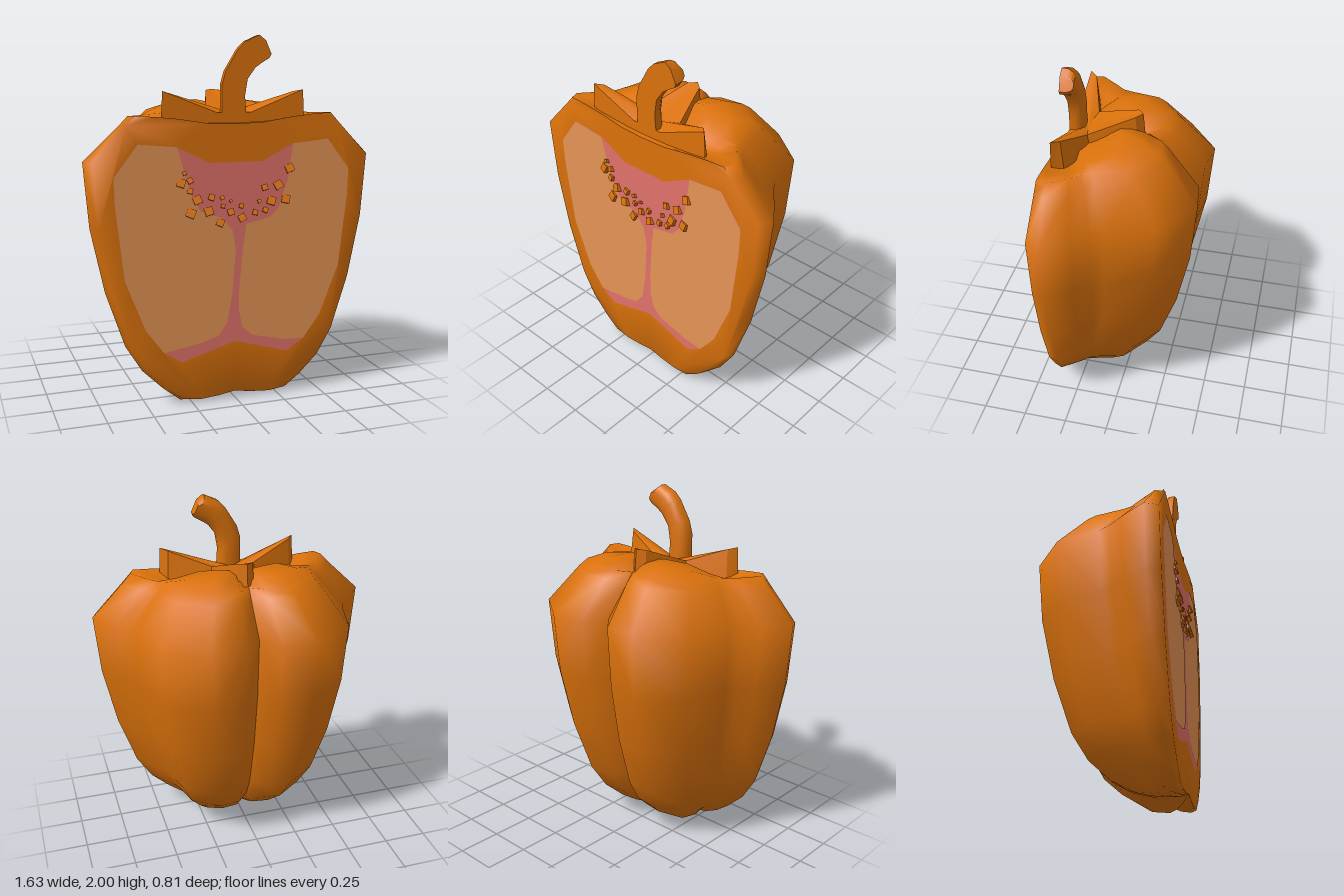
import * as THREE from 'three';
import { mergeGeometries, mergeVertices, toCreasedNormals } from 'three/addons/utils/BufferGeometryUtils.js';

const CUT = 0.38; // z of the flat cut face

function material(name, color) {
  const m = new THREE.MeshStandardMaterial({ color });
  m.name = name;
  return m;
}

function add(group, name, geometry, mat) {
  const mesh = new THREE.Mesh(geometry, mat);
  mesh.name = name;
  group.add(mesh);
  return mesh;
}

// Skin a stack of equally long rings of [x, y, z] points
function loft(rings, closed = false, capped = false) {
  const n = rings[0].length, index = [];
  for (let j = 0; j < rings.length - 1; j++) {
    for (let i = 0; i < (closed ? n : n - 1); i++) {
      const a = j * n + i, b = j * n + (i + 1) % n;
      index.push(a, a + n, b, b, a + n, b + n);
    }
  }
  if (capped) {
    const top = (rings.length - 1) * n;
    for (let i = 1; i < n - 1; i++) index.push(0, i, i + 1, top, top + i + 1, top + i);
  }
  const g = new THREE.BufferGeometry();
  g.setAttribute('position', new THREE.Float32BufferAttribute(rings.flat(2), 3));
  g.setIndex(index);
  return g;
}

function flatShape(points, z) {
  const g = new THREE.ShapeGeometry(new THREE.Shape(points.map(([x, y]) => new THREE.Vector2(x, y))));
  return g.translate(0, 0, z);
}

function mirrorX(geometry) {
  const g = geometry.clone().scale(-1, 1, 1);
  const ix = g.index.array;
  for (let i = 0; i < ix.length; i += 3) [ix[i], ix[i + 1]] = [ix[i + 1], ix[i]];
  return g;
}

// Half outline of the cut interior, top to bottom
const INNER = [[0, 1.33], [0.15, 1.33], [0.33, 1.42], [0.54, 1.44], [0.67, 1.27], [0.665, 1.12],
  [0.62, 0.72], [0.51, 0.44], [0.41, 0.305], [0.31, 0.24], [0, 0.33]];

// One half of the lobed skin, with its front rim
function halfSkin() {
  // x, z, share of the shoulder lift, share of the base lift
  const section = [[0, -0.27, -0.2, 1], [0.1, -0.38, 0.8, 1], [0.3, -0.405, 1, 0.9], [0.54, -0.23, 0.75, 0.1],
    [0.605, 0.02, 0.1, 0], [0.64, 0.085, -0.5, 0.5], [0.71, 0.165, -0.5, 0.3], [0.815, 0.305, -0.15, 0.3],
    [0.78, CUT, 0, 0.5]];
  // scale, height, shoulder lift, base lift
  const levels = [[0, 0.04, 0, 0], [0.12, 0.012, 0, 0.025], [0.26, 0, 0, 0.03], [0.385, 0.002, 0, 0.05],
    [0.5, 0.085, 0, 0.015], [0.64, 0.2, 0, 0], [0.75, 0.345, 0, 0], [0.875, 0.65, 0, 0], [0.965, 1, 0, 0],
    [1, 1.35, 0, 0], [0.77, 1.535, 0.025, 0], [0.71, 1.585, 0.012, 0], [0.58, 1.58, 0.06, 0],
    [0.42, 1.567, 0.085, 0], [0.2, 1.54, 0, 0], [0, 1.535, 0, 0]];
  const rings = levels.map(([s, y, shoulder, base]) => section.map(([x, z, k, b]) =>
    [x * s, y + shoulder * k + base * b, CUT + (z - CUT) * s]));
  const edge = rings.map((r) => r[r.length - 1]);
  const rim = flatShape([...edge, ...INNER], CUT);
  rim.deleteAttribute('uv');
  rim.deleteAttribute('normal');
  return mergeVertices(mergeGeometries([loft(rings), rim]), 1e-4);
}

// Half-round stem, bent to one side and flat at the front
function stemGeometry() {
  const sides = [[-0.07, 1.54, 0.07, 1.54], [-0.07, 1.74, 0.06, 1.68], [-0.05, 1.81, 0.075, 1.77],
    [0.02, 1.925, 0.12, 1.83], [0.06, 1.965, 0.16, 1.857], [0.14, 2, 0.2, 1.88], [0.178, 1.972, 0.21, 1.9]];
  const section = [[0, 0.35], [0, 0.315], [0.12, 0.287], [0.3, 0.275], [0.7, 0.275], [0.88, 0.287], [1, 0.315], [1, 0.35]];
  const rings = sides.map(([x0, y0, x1, y1]) =>
    section.map(([u, z]) => [x0 + (x1 - x0) * u, y0 + (y1 - y0) * u, z]));
  return toCreasedNormals(loft(rings, true, true), 0.7);
}

// Three-pointed calyx: dished top, sloping walls
function calyxGeometry() {
  const half = [[0, -0.065, 1.705], [0.045, -0.03, 1.7], [0.13, 0.215, 1.61], [0.37, 0.29, 1.7], [0.41, 0.35, 1.71]];
  const outer = [...half, [0.1, 0.35, 1.593], [-0.1, 0.35, 1.593],
    ...half.slice(1).reverse().map(([x, z, y]) => [-x, z, y])];
  const lower = outer.map(([x, z]) => [x, 1.5, z]);
  const upper = outer.map(([x, z, y]) => [x * 0.97, y, z > 0.34 ? z : z + 0.018]);
  const centre = outer.map(() => [0, 1.59, 0.26]);
  return toCreasedNormals(loft([lower, upper, centre], true), 0.5);
}

export function createModel() {
  const orange = material('orange skin', 0xda710b);
  const tan = material('pale flesh', 0xe59355);
  const pink = material('pink core', 0xe2716a);
  const model = new THREE.Group();
  model.name = 'halvedPepper';

  // Skin halves stay separate so the back groove is sharp
  const half = halfSkin();
  add(model, 'leftSkin', toCreasedNormals(half, 1.3), orange);
  add(model, 'rightSkin', toCreasedNormals(mirrorX(half), 1.3), orange);

  // Core membrane fills the cut, with a flesh chamber on each side
  const core = [...INNER, ...INNER.slice(1, -1).reverse().map(([x, y]) => [-x, y])];
  add(model, 'core', flatShape(core, CUT), pink);
  const wall = INNER.slice(2, 9);
  add(model, 'leftChamber', flatShape([...wall, [0.3, 0.31], [0.1, 0.355], [0.04, 0.41], [0.02, 0.5], [0.02, 0.62],
    [0.04, 0.85], [0.06, 0.99], [0.2, 1.02], [0.25, 1.07], [0.3, 1.22]], CUT + 0.003), tan);
  add(model, 'rightChamber', flatShape([...wall.map(([x, y]) => [-x, y]), [-0.2, 0.34], [-0.1, 0.37], [-0.05, 0.44],
    [-0.02, 0.6], [0, 0.85], [-0.02, 0.96], [-0.08, 1.03], [-0.2, 1.07], [-0.26, 1.18]], CUT + 0.003), tan);

  add(model, 'stem', stemGeometry(), orange);
  add(model, 'calyx', calyxGeometry(), orange);

  // Seeds: x, y, size
  const seeds = [[-0.29, 1.28, 0.02], [-0.31, 1.23, 0.045], [-0.26, 1.24, 0.03], [-0.26, 1.185, 0.03],
    [-0.22, 1.135, 0.045], [-0.255, 1.065, 0.048], [-0.155, 1.07, 0.045], [-0.14, 1.145, 0.032],
    [-0.08, 1.14, 0.022], [-0.075, 1.095, 0.022], [-0.03, 1.12, 0.015], [-0.09, 1.005, 0.04],
    [-0.03, 1.06, 0.035], [0.03, 1.09, 0.024], [0.035, 1.025, 0.04], [0.11, 1.05, 0.028],
    [0.135, 1.11, 0.02], [0.17, 1.06, 0.028], [0.165, 1.185, 0.032], [0.205, 1.11, 0.045],
    [0.245, 1.195, 0.045], [0.29, 1.115, 0.045], [0.31, 1.285, 0.045]];
  const seedGroup = new THREE.Group();
  seedGroup.name = 'seeds';
  seeds.forEach(([x, y, size], i) => {
    const seed = add(seedGroup, 'seed', new THREE.BoxGeometry(size, size, 0.025), orange);
    seed.position.set(x, y, CUT + 0.003);
    seed.rotation.set(-0.25, -0.2, (i % 2 ? -1 : 1) * (0.25 + 0.1 * (i % 3)));
  });
  model.add(seedGroup);
  return model;
}
